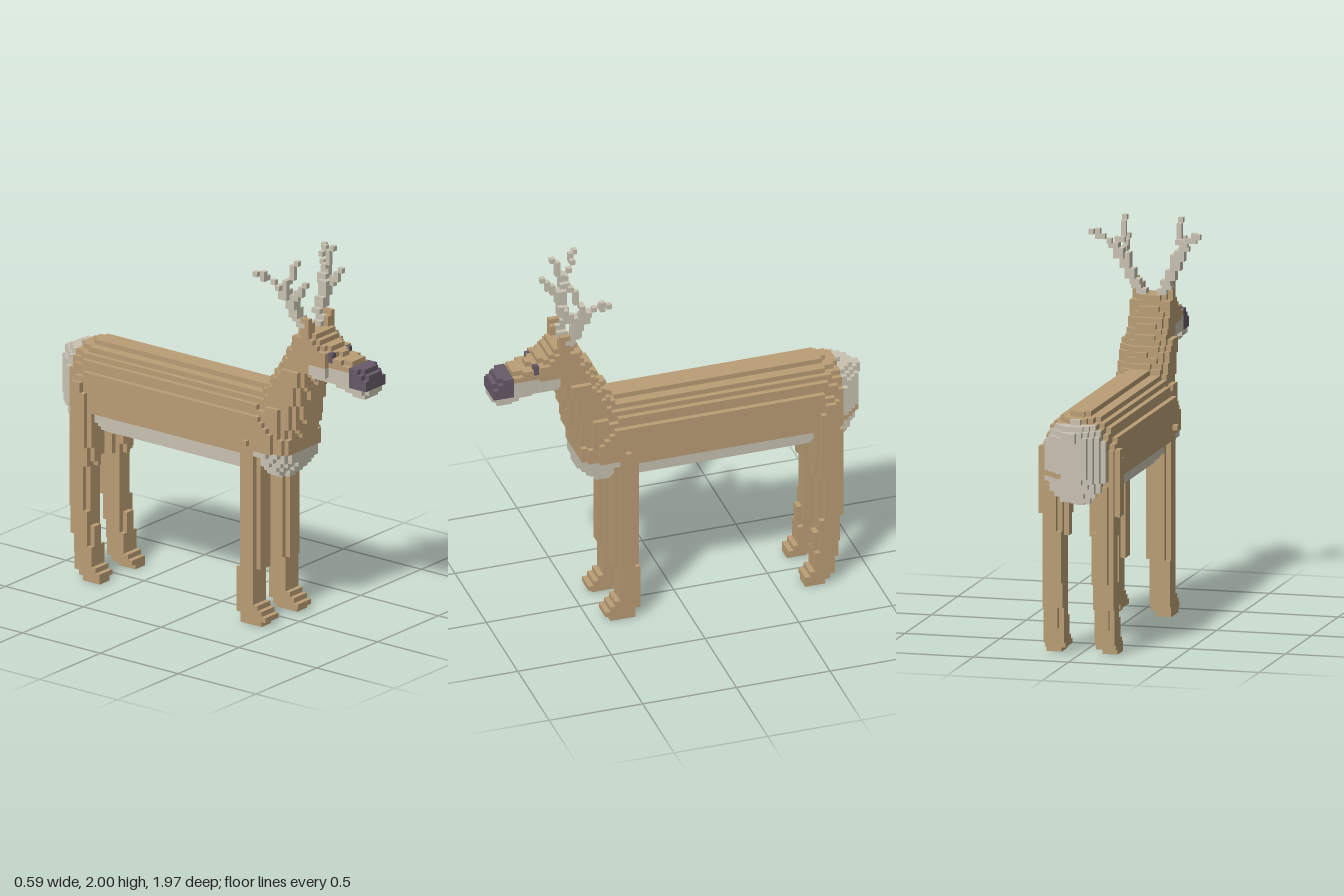
import * as THREE from 'three';

const UNIT = 2 / 75; // edge length of one block

const MATERIALS = {
  fur: new THREE.MeshStandardMaterial({ name: 'brown fur', color: 0xba9e75 }),
  pale: new THREE.MeshStandardMaterial({ name: 'pale fur and antler', color: 0xc8c2b2 }),
  dark: new THREE.MeshStandardMaterial({ name: 'dark nose and eyes', color: 0x665a68 }),
};

// Six faces of a block: outward direction and its four corners, counter-clockwise
const FACES = [
  [[1, 0, 0], [[1, 0, 1], [1, 0, 0], [1, 1, 0], [1, 1, 1]]],
  [[-1, 0, 0], [[0, 0, 0], [0, 0, 1], [0, 1, 1], [0, 1, 0]]],
  [[0, 1, 0], [[0, 1, 1], [1, 1, 1], [1, 1, 0], [0, 1, 0]]],
  [[0, -1, 0], [[0, 0, 0], [1, 0, 0], [1, 0, 1], [0, 0, 1]]],
  [[0, 0, 1], [[0, 0, 1], [1, 0, 1], [1, 1, 1], [0, 1, 1]]],
  [[0, 0, -1], [[1, 0, 0], [0, 0, 0], [0, 1, 0], [1, 1, 0]]],
];

export function createModel() {
  const blocks = new Map();
  const keyOf = (x, y, z) => `${x},${y},${z}`;

  // Place a block and its mirror image; paired parts get left/right names
  function put(name, mat, x, y, z, paired = false) {
    for (const [bx, side] of [[x, 'left'], [-1 - x, 'right']]) {
      const part = paired ? side + name[0].toUpperCase() + name.slice(1) : name;
      blocks.set(keyOf(bx, y, z), { part, mat, p: [bx, y, z] });
    }
  }

  function box(name, mat, [x0, x1], [y0, y1], [z0, z1], paired) {
    for (let x = x0; x < x1; x++)
      for (let y = y0; y < y1; y++)
        for (let z = z0; z < z1; z++) put(name, mat, x, y, z, paired);
  }

  // Fill rounded sections along 'y' or 'z'; keys are [position, centre, radius, x radius]
  function loft(name, mat, axis, keys, { cx = 0, power = 2, paired = false } = {}) {
    for (let t = keys[0][0]; t < keys[keys.length - 1][0]; t++) {
      const i = keys.findIndex((k) => k[0] > t + 0.5);
      const a = keys[i - 1], b = keys[i];
      const f = (t + 0.5 - a[0]) / (b[0] - a[0]);
      const [, c, r, rx] = a.map((v, j) => v + (b[j] - v) * f);
      for (let x = 0; x < 12; x++)
        for (let s = Math.floor(c - r) - 1; s <= c + r + 1; s++) {
          const d = Math.abs((x + 0.5 - cx) / rx) ** power + Math.abs((s + 0.5 - c) / r) ** power;
          if (d > 1) continue;
          if (axis === 'y') put(name, mat, x, t, s, paired);
          else put(name, mat, x, s, t, paired);
        }
    }
  }

  // Recolour blocks of one part as a new part
  function paint(from, name, mat, test) {
    for (const b of blocks.values())
      if (b.part === from && test(...b.p)) Object.assign(b, { part: name, mat });
  }

  // Chain of blocks through a few points
  function branch(points, thick) {
    for (let i = 1; i < points.length; i++) {
      const a = new THREE.Vector3(...points[i - 1]), b = new THREE.Vector3(...points[i]);
      const n = Math.ceil(a.distanceTo(b) * 1.5);
      for (let k = 0; k <= n; k++) {
        const [x, y, z] = a.clone().lerp(b, k / n).toArray().map(Math.floor);
        box('antler', 'pale', [x, x + thick], [y, y + 1], [z, z + thick], true);
      }
    }
  }

  // Barrel-shaped body with chest
  loft('body', 'fur', 'z', [
    [-32, 38, 7.8, 6.3], [-29, 38, 8.8, 7], [-27, 38, 9, 7.2], [13, 38, 9, 7.2],
    [16, 37, 8, 7], [18, 36.5, 6, 6], [20, 36.5, 4, 4.4],
  ]);
  paint('body', 'belly', 'pale', (x, y, z) => y < (z >= 13 ? 35 : 34));

  // Rump patch and tail
  loft('rump', 'pale', 'z', [
    [-36, 39.5, 4.8, 3], [-34, 38.5, 6.6, 5], [-32, 37.5, 8.2, 6.3],
  ], { power: 2.4 });
  paint('rump', 'rumpStripe', 'fur', (x, y) => y === 35 && x > 1);
  box('tail', 'pale', [0, 1], [42, 44], [-37, -34]);

  // Neck
  loft('neck', 'fur', 'y', [
    [36, 14, 6, 6], [42, 15.8, 6, 5.8], [47, 17.8, 4.9, 5.2], [51, 19.7, 4.3, 5],
    [53, 20.5, 4, 4.3], [57, 22, 3.2, 4], [59, 22.5, 2.6, 4],
  ], { power: 2.4 });

  // Head, pale jaw and dark nose
  loft('head', 'fur', 'z', [
    [20, 56.5, 3, 3.8], [21, 55.5, 4.6, 4.2], [25, 55.4, 4.7, 4.2], [26, 54.8, 4, 4.2],
    [28, 54, 3.4, 4], [28, 54, 3.4, 3.3], [30, 53.3, 3, 3.2], [32, 52.8, 3, 3.1],
    [35, 52, 3.1, 3.1], [36, 52, 2.4, 3.1], [37, 51.8, 1.5, 2.4],
  ], { power: 3 });
  paint('head', 'jaw', 'pale', (x, y, z) => z >= 24 && y < 54);
  const atNose = (x, y, z) => z >= 33 && y >= 51;
  paint('head', 'nose', 'dark', atNose);
  paint('jaw', 'nose', 'dark', atNose);
  box('eye', 'dark', [2, 3], [55, 57], [28, 29], true);

  // Ears
  box('ear', 'fur', [2, 4], [59, 62], [22, 24], true);
  box('ear', 'fur', [3, 4], [62, 63], [22, 24], true);

  // Antlers: stem, rear tine, upright tine, front tine
  branch([[1.5, 60, 21.5], [3.2, 63, 20.5], [4.5, 66, 20.2], [5.5, 68.5, 19.8]], 2);
  branch([[6.5, 69, 19.5], [7.5, 70.5, 18.5], [8.5, 71.5, 17.5], [10.5, 72.8, 16.5]], 1);
  branch([[6.3, 69, 20.3], [5.8, 71.5, 21], [5.5, 73, 21.6], [5.5, 74.6, 22.5]], 1);
  branch([[5.5, 66.5, 21.5], [5.5, 68.5, 23.2], [5.5, 70.6, 24.4]], 1);

  // Front legs with shoulder knob and hoof
  loft('frontLeg', 'fur', 'y', [[11, 11.5, 2.5, 2.5], [35, 11.5, 2.5, 2.5]],
    { cx: 4.5, power: 2.5, paired: true });
  loft('frontLeg', 'fur', 'y', [[2, 11, 2, 2], [11, 11, 2, 2]], { cx: 5, power: 2.5, paired: true });
  box('frontLeg', 'fur', [7, 8], [36, 37], [11, 12], true);
  const frontSteps = [[10, 15], [10, 16], [9, 15], [9, 14]];
  frontSteps.forEach((z, y) => box('frontHoof', 'fur', y === 0 ? [4, 7] : [3, 7], [y, y + 1], z, true));

  // Back legs: thigh, shank and hoof
  loft('backLeg', 'fur', 'y', [[27, -28.5, 2.5, 3], [37, -28.7, 2.5, 3], [40, -29, 1.6, 2.6]],
    { cx: 5, power: 2.5, paired: true });
  loft('backLeg', 'fur', 'y', [
    [14, -29.5, 2.5, 2], [22, -29.5, 2.5, 2], [24, -29, 2.7, 2.5], [35, -28.8, 2.7, 2.5],
  ], { cx: 4.8, power: 2.5, paired: true });
  loft('backLeg', 'fur', 'y', [[2, -27.5, 2.2, 2], [6, -28.3, 2.4, 2], [10, -28.7, 2.4, 2], [14, -29, 2.2, 2]],
    { cx: 5, power: 2.8, paired: true });
  const backSteps = [[-28, -24], [-29, -24], [-30, -25]];
  backSteps.forEach((z, y) => box('backHoof', 'fur', y === 0 ? [4, 7] : [3, 7], [y, y + 1], z, true));

  // Collect the exposed faces of each part
  const parts = new Map();
  for (const { part, mat, p } of blocks.values()) {
    if (!parts.has(part)) parts.set(part, { mat, pos: [], nor: [], idx: [] });
    const g = parts.get(part);
    for (const [n, corners] of FACES) {
      if (blocks.has(keyOf(p[0] + n[0], p[1] + n[1], p[2] + n[2]))) continue;
      const s = g.pos.length / 3;
      for (const c of corners) {
        g.pos.push(...c.map((v, i) => (v + p[i]) * UNIT));
        g.nor.push(...n);
      }
      g.idx.push(s, s + 1, s + 2, s, s + 2, s + 3);
    }
  }

  const model = new THREE.Group();
  model.name = 'deer';
  for (const [name, g] of parts) {
    if (!g.idx.length) continue;
    const geometry = new THREE.BufferGeometry();
    geometry.setAttribute('position', new THREE.Float32BufferAttribute(g.pos, 3));
    geometry.setAttribute('normal', new THREE.Float32BufferAttribute(g.nor, 3));
    geometry.setIndex(g.idx);
    const mesh = new THREE.Mesh(geometry, MATERIALS[g.mat]);
    mesh.name = name;
    model.add(mesh);
  }
  return model;
}
